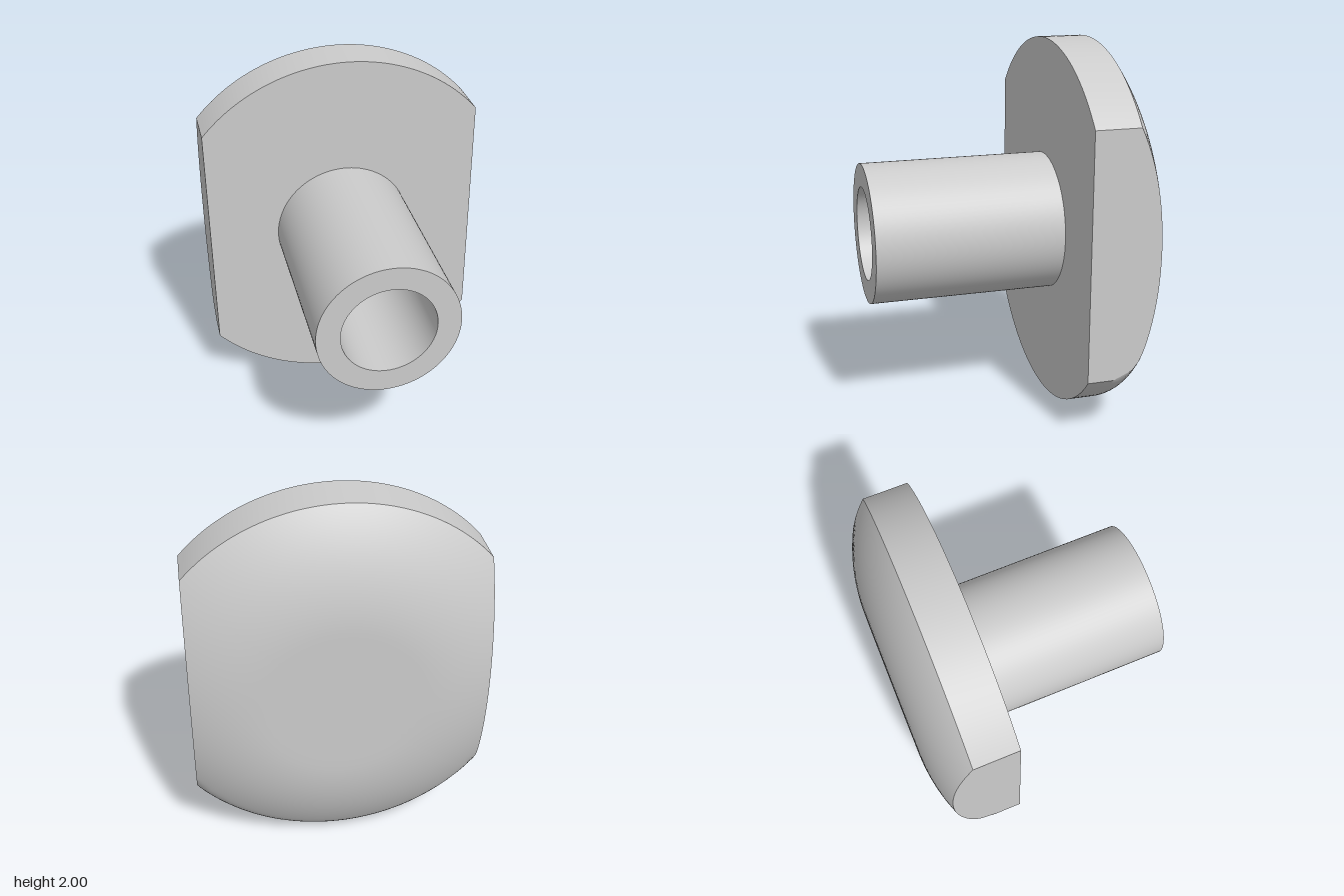
import * as THREE from 'three';
import { mergeVertices } from 'three/addons/utils/BufferGeometryUtils.js';

const FLAT = 0.755;                 // half width between the two side flats
const FRONT = -0.28;                // front plane of the head
const CORNER = Math.acos(FLAT);     // angle where a flat meets the round rim
const material = new THREE.MeshStandardMaterial({ color: 0xcccccc });

// Angles of the four outline stretches: flat, top arc, flat, bottom arc
const stretches = [
  [-CORNER, CORNER], [CORNER, Math.PI - CORNER],
  [Math.PI - CORNER, Math.PI + CORNER], [Math.PI + CORNER, 2 * Math.PI - CORNER],
];
const STEPS = 40;
const angles = ([a, b]) => Array.from({ length: STEPS + 1 }, (_, i) => a + (b - a) * i / STEPS);

const rim = (t) => Math.min(1, FLAT / Math.max(Math.abs(Math.cos(t)), 1e-6));

// Back surface: flat middle, arc of radius 1, and a fillet on the lower rim only
function backZ(r, t) {
  if (Math.sin(t) < 0 && r > 0.908) {
    return -0.42 - Math.sqrt(Math.max(0, 0.1875 ** 2 - (r - 0.8125) ** 2));
  }
  return r < 0.4 ? -0.72 : 0.28 - Math.sqrt(1 - (r - 0.4) ** 2);
}

// Surface from a grid of points; faces point along du x dv
function grid(us, vs, point) {
  const pos = [], index = [], n = vs.length;
  us.forEach((u, i) => vs.forEach((v, j) => {
    pos.push(...point(u, v));
    if (i && j) {
      const d = i * n + j, c = d - 1, b = d - n, a = b - 1;
      index.push(a, c, d, a, d, b);
    }
  }));
  const g = new THREE.BufferGeometry();
  g.setAttribute('position', new THREE.Float32BufferAttribute(pos, 3));
  g.setIndex(index);
  const merged = mergeVertices(g, 1e-5);
  merged.computeVertexNormals();
  return merged;
}

export function createModel() {
  const model = new THREE.Group();
  model.name = 'clampButton';
  const body = new THREE.Group();
  body.name = 'body';
  body.position.y = 1;
  model.add(body);
  const add = (parent, name, geometry) => {
    const mesh = new THREE.Mesh(geometry, material);
    mesh.name = name;
    parent.add(mesh);
    return mesh;
  };

  // Head: domed back
  const head = new THREE.Group();
  head.name = 'head';
  body.add(head);
  const rings = Array.from({ length: 33 }, (_, i) => Math.sin(Math.PI / 2 * i / 32));
  add(head, 'domedBack', grid(stretches.flatMap(angles), rings, (t, s) => {
    const r = s * rim(t);
    return [r * Math.cos(t), r * Math.sin(t), backZ(r, t)];
  }));

  // Head: side flats and round rims
  ['leftFlat', 'topRim', 'rightFlat', 'bottomRim'].forEach((name, i) => {
    add(head, name, grid(angles(stretches[i]), [0, 1], (t, v) => {
      const r = rim(t);
      return [r * Math.cos(t), r * Math.sin(t), v ? FRONT : backZ(r, t)];
    }));
  });

  // Head: front plane, open where the stem joins
  const outline = new THREE.Shape(stretches.flatMap((s) => angles(s).slice(0, -1))
    .map((t) => new THREE.Vector2(rim(t) * Math.cos(t), rim(t) * Math.sin(t))));
  outline.holes.push(new THREE.Path().absarc(0, 0, 0.375, 0, Math.PI * 2, true));
  add(head, 'frontFace', new THREE.ShapeGeometry(outline, 48)).position.z = FRONT;

  // Stem: outer wall, end ring, stepped bore and its floor, each edge kept sharp
  const stem = new THREE.Group();
  stem.name = 'stem';
  stem.rotation.x = Math.PI / 2;
  body.add(stem);
  const profile = [
    [0.375, FRONT], [0.375, 0.72], [0.25, 0.72], [0.25, -0.1],
    [0.22, -0.1], [0.22, -0.2], [0.175, -0.25], [0.175, -0.42], [0, -0.42],
  ].map(([r, z]) => new THREE.Vector2(r, z));
  const names = ['outerWall', 'endRing', 'bore', 'boreShoulder', 'innerBore',
    'boreTaper', 'pilotHole', 'pilotFloor'];
  names.forEach((name, i) => {
    add(stem, name, new THREE.LatheGeometry([profile[i], profile[i + 1]], 96));
  });
  return model;
}
